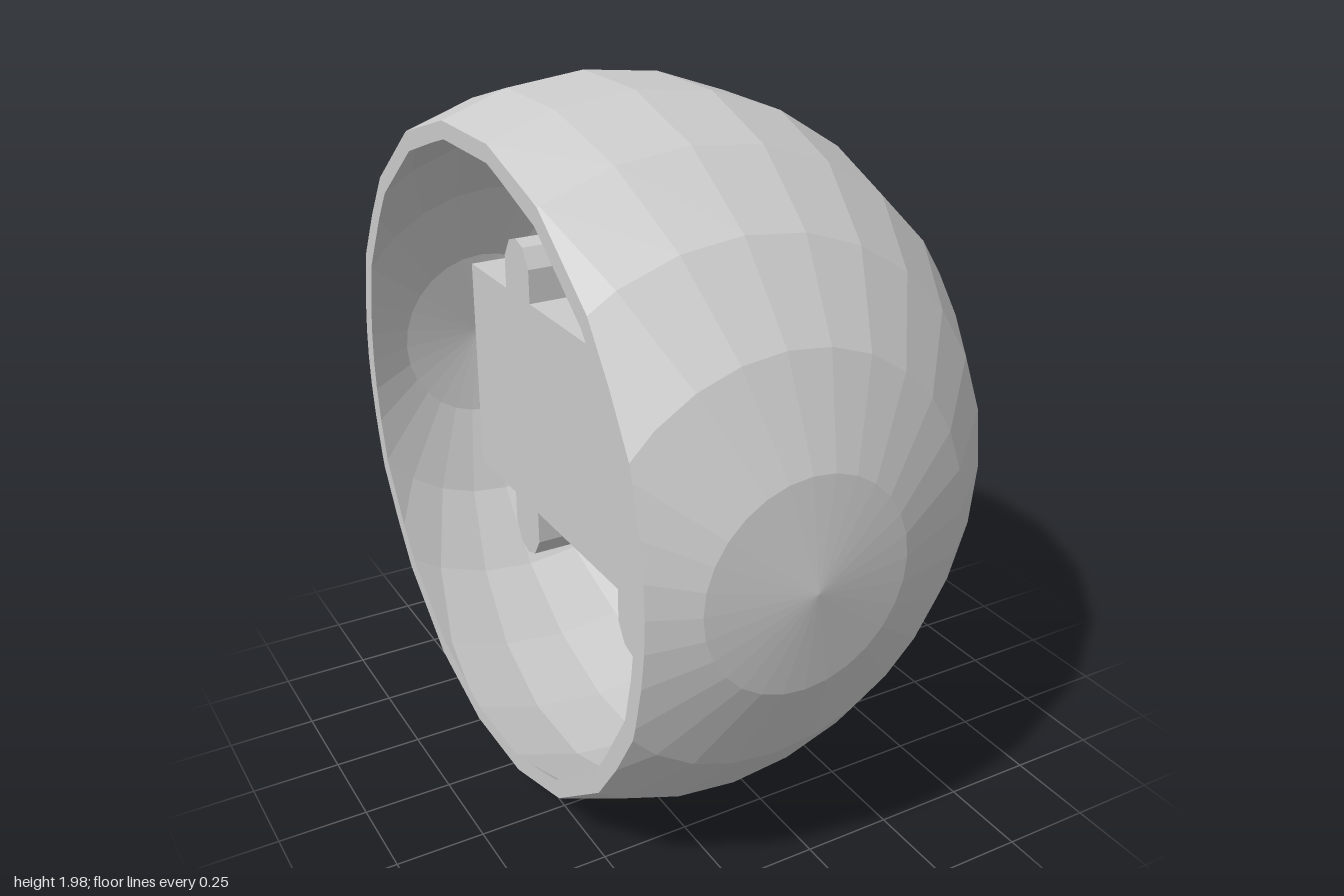
import * as THREE from 'three';

const CX = -0.19, CY = 1;           // sphere centre
const BACK = -0.59, FACE = 0.585;   // open cut and flat face
const WALL = 0.5, FLOOR = 0.52;     // inner end wall, recess floor
const material = new THREE.MeshStandardMaterial({ color: 0xcccccc, flatShading: true });

function addMesh(group, name, geometry) {
  const mesh = new THREE.Mesh(geometry, material);
  mesh.name = name;
  group.add(mesh);
  return mesh;
}

// Keep the part of a polygon where sign * (x - limit) >= 0, recording cut points
function clip(poly, limit, sign, cuts) {
  const out = [];
  poly.forEach((a, i) => {
    const b = poly[(i + 1) % poly.length];
    const da = sign * (a.x - limit), db = sign * (b.x - limit);
    if (da >= 0) out.push(a);
    if ((da > 0 && db < 0) || (da < 0 && db > 0)) {
      const p = a.clone().lerp(b, da / (da - db));
      out.push(p);
      cuts.push(p);
    }
  });
  return out;
}

// Order cut points round the x axis as [z, y] pairs, dropping repeats
function outline(cuts) {
  const angle = p => Math.atan2(p.y - CY, p.z);
  const sorted = cuts.slice().sort((a, b) => angle(a) - angle(b));
  return sorted
    .filter((p, i) => p.distanceTo(sorted[(i + 1) % sorted.length]) > 1e-4)
    .map(p => [p.z, p.y]);
}

// Low-poly sphere with poles on z, sliced flat at both x limits
function slicedSphere(radius, xMin, xMax, inward) {
  const source = new THREE.SphereGeometry(radius, 28, 11)
    .rotateX(Math.PI / 2).translate(CX, CY, 0).toNonIndexed().attributes.position;
  const points = [], backCuts = [], faceCuts = [];
  for (let i = 0; i < source.count; i += 3) {
    let poly = [0, 1, 2].map(k => new THREE.Vector3().fromBufferAttribute(source, i + k));
    poly = clip(poly, xMin, 1, backCuts);
    poly = clip(poly, xMax, -1, faceCuts);
    if (inward) poly.reverse();
    for (let k = 1; k < poly.length - 1; k++) points.push(poly[0], poly[k], poly[k + 1]);
  }
  const geometry = new THREE.BufferGeometry().setFromPoints(points);
  geometry.computeVertexNormals();
  return { geometry, back: outline(backCuts), face: outline(faceCuts) };
}

// Flat panel at a given x, facing +x (dir 1) or -x (dir -1)
function panel(points, holes, x, dir) {
  const to2 = list => list.map(([z, y]) => new THREE.Vector2(-dir * z, y));
  const shape = new THREE.Shape(to2(points));
  shape.holes = holes.map(h => new THREE.Path(to2(h)));
  return new THREE.ShapeGeometry(shape).rotateY(dir * Math.PI / 2).translate(x, 0, 0);
}

// Fourteen-sided ring, as [z, y] pairs
function ring(z, radius) {
  return Array.from({ length: 14 }, (_, i) => {
    const a = (i + 0.5) * Math.PI / 7;
    return [z + radius * Math.cos(a), CY + radius * Math.sin(a)];
  });
}

// Straight wall from FLOOR to FACE round a ring, seen from inside
function recessWall(points) {
  const pos = [];
  points.forEach(([z0, y0], i) => {
    const [z1, y1] = points[(i + 1) % points.length];
    pos.push(FLOOR, y0, z0, FACE, y0, z0, FACE, y1, z1);
    pos.push(FLOOR, y0, z0, FACE, y1, z1, FLOOR, y1, z1);
  });
  const geometry = new THREE.BufferGeometry();
  geometry.setAttribute('position', new THREE.Float32BufferAttribute(pos, 3));
  geometry.computeVertexNormals();
  return geometry;
}

export function createModel() {
  const model = new THREE.Group();
  model.name = 'hollowHead';

  // Outer and inner skins
  const outer = slicedSphere(1, BACK, FACE, false);
  const inner = slicedSphere(0.955, BACK, WALL, true);
  addMesh(model, 'outerShell', outer.geometry);
  addMesh(model, 'innerShell', inner.geometry);
  addMesh(model, 'openRim', panel(outer.back, [inner.back], BACK, -1));
  addMesh(model, 'innerEndWall', panel(inner.face, [], WALL, -1));

  // Flat face with two round recesses
  const rings = [-0.33, 0.33].map(z => ring(z, 0.29));
  addMesh(model, 'flatFace', panel(outer.face, rings, FACE, 1));
  const wallMaterial = material.clone();
  wallMaterial.side = THREE.DoubleSide;
  rings.forEach((points, i) => {
    const side = i ? 'left' : 'right';
    addMesh(model, side + 'RecessWall', recessWall(points)).material = wallMaterial;
    addMesh(model, side + 'RecessFloor', panel(points, [], FLOOR, 1));
  });

  // Inner block with rounded tabs above and below
  const halfWidth = 0.67, halfHeight = 0.33, tabZ = 0.335;
  const tab = [[0.08, 0], [0.08, 0.1], [0.045, 0.155], [0, 0.17],
    [-0.045, 0.155], [-0.08, 0.1], [-0.08, 0]];
  const top = [[halfWidth, halfHeight]];
  for (const z of [tabZ, -tabZ]) for (const [dx, dy] of tab) top.push([z + dx, halfHeight + dy]);
  top.push([-halfWidth, halfHeight]);
  const profile = [...top, ...top.map(([x, y]) => [-x, -y])];
  const block = new THREE.ExtrudeGeometry(
    new THREE.Shape(profile.map(([x, y]) => new THREE.Vector2(x, y))),
    { depth: 0.74, bevelEnabled: false });
  addMesh(model, 'innerBlock', block.rotateY(Math.PI / 2).translate(-0.32, CY, 0));

  return model;
}
